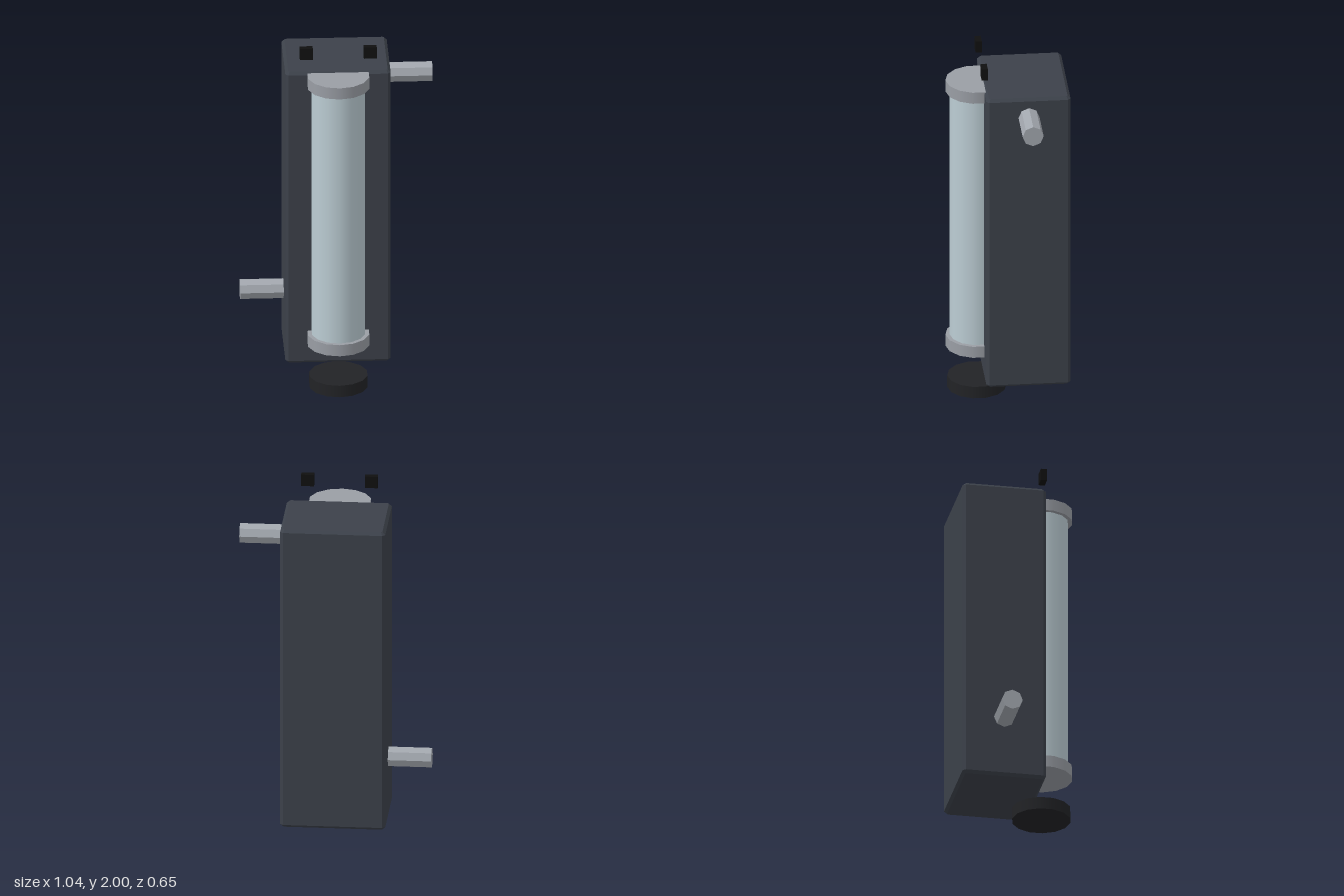
import * as THREE from 'three';

const mat = (color, flat = false) => new THREE.MeshStandardMaterial({ color, flatShading: flat });

export function createModel() {
  const model = new THREE.Group();
  const dark = mat(0x3c414a, true);
  const black = mat(0x101010, true);
  const rubber = mat(0x222326);
  const metal = mat(0x9a9ea5);
  const pipeMetal = mat(0xa2a7ae, true);
  const glass = mat(0xbccdd4);

  const add = (name, geometry, material, x, y, z) => {
    const mesh = new THREE.Mesh(geometry, material);
    mesh.name = name;
    mesh.position.set(x, y, z);
    model.add(mesh);
    return mesh;
  };

  // Housing: chamfered rectangle extruded upwards with chamfered ends
  const c = 0.016, w = 0.285 - c, d = 0.229 - c, h = 1.73;
  const outline = new THREE.Shape([
    [w, -d], [w, d], [-w, d], [-w, -d],
  ].map(([x, y]) => new THREE.Vector2(x, y)));
  const chamfered = new THREE.Shape([
    [w + c, -d], [w + c, d], [w, d + c], [-w, d + c],
    [-w - c, d], [-w - c, -d], [-w, -d - c], [w, -d - c],
  ].map(([x, y]) => new THREE.Vector2(x, y)));
  const housing = new THREE.ExtrudeGeometry(chamfered, {
    depth: h - 2 * c, bevelEnabled: true, bevelSegments: 1,
    bevelSize: c, bevelThickness: c, bevelOffset: -c,
  });
  housing.rotateX(-Math.PI / 2);
  add('housing', housing, dark, 0, 0.12 + c, -0.098);

  // Sight tube with an end cap at each end
  const tubeZ = 0.157;
  add('sightTube', new THREE.CylinderGeometry(0.147, 0.147, 1.5, 14), glass, 0, 1.045, tubeZ);
  for (const [name, y] of [['lowerCap', 0.281], ['upperCap', 1.809]]) {
    add(name, new THREE.CylinderGeometry(0.17, 0.17, 0.066, 14), metal, 0, y, tubeZ);
  }

  // Round foot below the tube
  add('foot', new THREE.CylinderGeometry(0.16, 0.16, 0.068, 14), rubber, 0, 0.034, tubeZ);

  // Side pipes: low on one side, high on the other
  for (const [name, side, y] of [['inletPipe', -1, 0.464], ['outletPipe', 1, 1.737]]) {
    const pipe = new THREE.CylinderGeometry(0.057, 0.057, 0.26, 8);
    pipe.rotateZ(Math.PI / 2);
    add(name, pipe, pipeMetal, side * 0.39, y, -0.1);
  }

  // Pair of small blocks above the front edge
  for (const side of [-1, 1]) {
    add(side > 0 ? 'leftBlock' : 'rightBlock', new THREE.BoxGeometry(0.07, 0.066, 0.034),
      black, side * 0.173, 1.967, 0.133);
  }

  return model;
}
